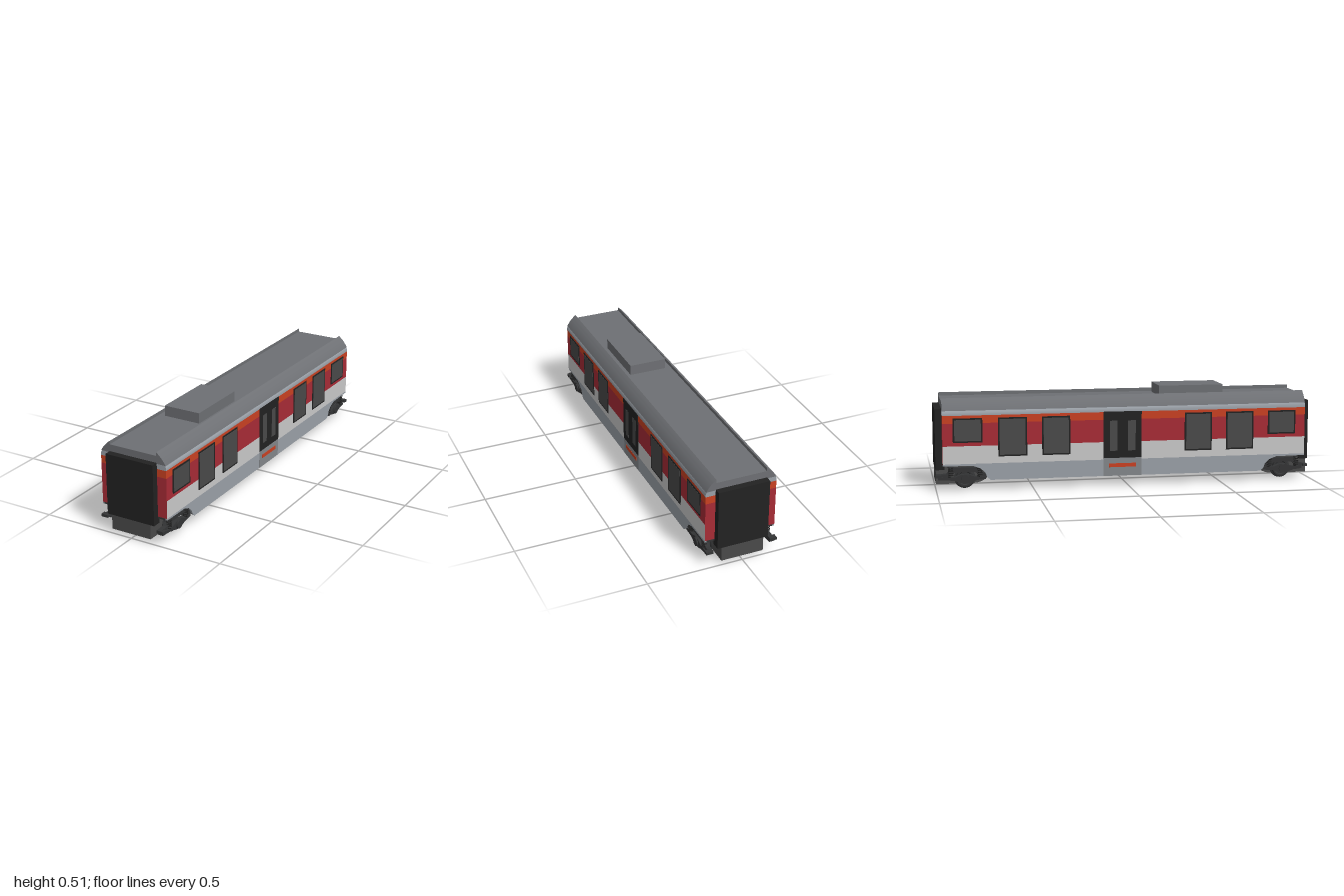
import * as THREE from 'three';
import { toCreasedNormals } from 'three/addons/utils/BufferGeometryUtils.js';

const paint = (name, color) => {
  const m = new THREE.MeshStandardMaterial({ color });
  m.name = name;
  return m;
};

export function createModel() {
  const roofGrey = paint('roof grey', 0x6e7074);
  const paleGrey = paint('pale blue grey', 0x9ba1a8);
  const orange = paint('orange', 0xca4122);
  const red = paint('red', 0xa82c36);
  const white = paint('white', 0xcacaca);
  const black = paint('black', 0x222222);
  const darkGrey = paint('dark grey', 0x4a4a4a);
  const panelGrey = paint('panel grey', 0x83878b);
  const iron = paint('iron', 0x343536);

  const model = new THREE.Group();
  model.name = 'railwayCarriage';

  const add = (name, geo, mat, parent = model) => {
    const mesh = new THREE.Mesh(geo, mat);
    mesh.name = name;
    parent.add(mesh);
    return mesh;
  };
  // Box given by its extents
  const box = (name, mat, x0, x1, y0, y1, z0, z1, parent = model) => {
    const mesh = add(name, new THREE.BoxGeometry(x1 - x0, y1 - y0, z1 - z0), mat, parent);
    mesh.position.set((x0 + x1) / 2, (y0 + y1) / 2, (z0 + z1) / 2);
    return mesh;
  };
  // The same box on the left and right flank
  const pair = (name, mat, x0, x1, y0, y1, z0, z1, parent = model) => {
    box(name + 'Left', mat, x0, x1, y0, y1, z0, z1, parent);
    box(name + 'Right', mat, -x1, -x0, y0, y1, z0, z1, parent);
  };
  const outline = (pts) => new THREE.Shape(pts.map(([a, b]) => new THREE.Vector2(a, b)));
  const extrude = (shape, depth) => toCreasedNormals(
    new THREE.ExtrudeGeometry(shape, { depth, bevelEnabled: false, curveSegments: 10 }), 0.6);
  // Outline drawn in (z, y), extruded from x0 to x1
  const sideExtrude = (shape, x0, x1) =>
    extrude(shape, x1 - x0).rotateY(-Math.PI / 2).translate(x1, 0, 0);

  const W = 0.187, L = 0.965;

  // Body in painted bands; the lowest band is white on the flanks and red on the ends
  box('lowerBand', [white, white, white, iron, red, red], -W, W, 0.137, 0.23, -L, L);
  box('redBand', red, -W, W, 0.23, 0.348, -L, L);
  box('orangeBand', orange, -W, W, 0.348, 0.388, -L, L);
  const cantrail = outline([[-W, 0.388], [W, 0.388], [W, 0.403], [0.18, 0.414], [-0.18, 0.414], [-W, 0.403]]);
  add('cantrail', extrude(cantrail, 2 * L).translate(0, 0, -L), paleGrey);

  // Roof with curved shoulders rising above a flat deck
  const roof = new THREE.Shape();
  roof.moveTo(-0.185, 0.413);
  roof.lineTo(0.185, 0.413);
  roof.quadraticCurveTo(0.166, 0.449, 0.133, 0.473);
  roof.lineTo(0.133, 0.455);
  roof.lineTo(-0.133, 0.455);
  roof.lineTo(-0.133, 0.473);
  roof.quadraticCurveTo(-0.166, 0.449, -0.185, 0.413);
  add('roof', extrude(roof, 2 * L).translate(0, 0, -L), roofGrey);
  box('roofUnit', roofGrey, -0.101, 0.101, 0.45, 0.51, 0.185, 0.532);

  // Underfloor and skirts cut away over the wheels
  box('underfloor', iron, -0.178, 0.178, 0.128, 0.1365, -L, L);
  const half = [[0.72, 0.05], [0.738, 0.064], [0.748, 0.09], [0.772, 0.112], [0.81, 0.126], [L, 0.128], [L, 0.137]];
  const skirt = outline([...half, ...half.map(([z, y]) => [-z, y]).reverse()]);
  add('skirtLeft', sideExtrude(skirt, W - 0.01, W), paleGrey);
  add('skirtRight', sideExtrude(skirt, -W, -W + 0.01), paleGrey);

  // Windows: black frame with a dark pane
  const windows = [[0.305, 0.452, 0.172], [0.53, 0.68, 0.172], [0.76, 0.912, 0.248]];
  for (const [a, b, y] of windows) {
    for (const [z0, z1] of [[a, b], [-b, -a]]) {
      pair('windowFrame', black, W - 0.003, 0.19, y, 0.374, z0, z1);
      pair('windowPane', darkGrey, W, 0.1908, y + 0.008, 0.366, z0 + 0.008, z1 - 0.008);
    }
  }

  // Doors with two panes, a sill panel and an orange step
  pair('door', black, W - 0.003, 0.19, 0.145, 0.39, -0.13, 0.073);
  pair('doorPaneFront', darkGrey, W, 0.1908, 0.183, 0.342, 0, 0.041);
  pair('doorPaneBack', darkGrey, W, 0.1908, 0.183, 0.342, -0.096, -0.055);
  pair('doorSill', panelGrey, 0.168, 0.188, 0.05, 0.145, -0.13, 0.073);
  pair('sillRecess', iron, 0.166, 0.17, 0.06, 0.125, -0.115, 0.058);
  pair('doorStep', orange, 0.18, 0.1895, 0.096, 0.116, -0.1, 0.043);

  // Wheel profile with a flange on the inner side, turned about the x axis
  const wheelGeo = toCreasedNormals(new THREE.LatheGeometry(
    [[0, 0], [0.055, 0], [0.055, 0.004], [0.046, 0.008], [0.044, 0.025], [0.036, 0.025],
      [0.032, 0.017], [0.015, 0.017], [0.012, 0.026], [0, 0.026]]
      .map(([r, h]) => new THREE.Vector2(r, h)), 28), 0.5).rotateZ(-Math.PI / 2);

  // Coil spring
  const coil = [];
  for (let i = 0; i <= 48; i++) {
    const t = i / 48, a = t * Math.PI * 10;
    coil.push(new THREE.Vector3(0.0115 * Math.cos(a), 0.05 * t, 0.0115 * Math.sin(a)));
  }
  const springGeo = new THREE.TubeGeometry(new THREE.CatmullRomCurve3(coil), 100, 0.0028, 5);

  const sideFrame = outline([[0.735, 0.068], [0.77, 0.068], [0.8, 0.092], [0.9, 0.092], [0.93, 0.068],
    [1, 0.068], [1, 0.082], [0.945, 0.084], [0.915, 0.116], [0.785, 0.116], [0.755, 0.084], [0.735, 0.082]]);
  const arm = outline([[0.79, 0.05], [0.83, 0.036], [0.87, 0.036], [0.91, 0.05], [0.99, 0.055],
    [0.99, 0.068], [0.9, 0.068], [0.87, 0.08], [0.83, 0.08], [0.8, 0.068], [0.745, 0.068], [0.745, 0.055]]);
  const casing = new THREE.Shape();
  casing.moveTo(0.998, 0.023);
  casing.lineTo(0.998, 0.13);
  casing.lineTo(0.705, 0.13);
  casing.quadraticCurveTo(0.71, 0.03, 0.8, 0.023);

  // Running gear and gangway, one set at each end
  for (const end of ['front', 'back']) {
    const set = new THREE.Group();
    set.name = end + 'End';
    if (end === 'back') set.rotation.y = Math.PI;
    model.add(set);

    box('gangway', black, -0.135, 0.135, 0.1, 0.419, L - 0.01, 1, set);
    add('bogieCasing', sideExtrude(casing, -0.112, 0.112), darkGrey, set);
    const axle = add('axle', new THREE.CylinderGeometry(0.012, 0.012, 0.34, 14).rotateZ(Math.PI / 2), iron, set);
    axle.position.set(0, 0.055, 0.85);

    for (const s of [1, -1]) {
      const side = new THREE.Group();
      side.name = s > 0 ? 'bogieSideA' : 'bogieSideB';
      if (s < 0) { // turned half round about the axle centre line
        side.rotation.y = Math.PI;
        side.position.z = 1.7;
      }
      set.add(side);
      const wheel = add('wheel', wheelGeo, iron, side);
      wheel.position.set(0.117, 0.055, 0.85);
      add('sideFrame', sideExtrude(sideFrame, 0.148, 0.172), iron, side);
      add('axleArm', sideExtrude(arm, 0.15, 0.178), iron, side);
      const hub = add('axleBox', new THREE.CylinderGeometry(0.022, 0.022, 0.034, 18).rotateZ(Math.PI / 2), iron, side);
      hub.position.set(0.168, 0.058, 0.85);
      for (const z of [0.775, 0.925]) {
        const spring = add('spring', springGeo, black, side);
        spring.position.set(0.17, 0.069, z);
        const cap = add('springCap', new THREE.CylinderGeometry(0.016, 0.016, 0.005, 16), iron, side);
        cap.position.set(0.17, 0.12, z);
        const damper = add('damper', new THREE.CylinderGeometry(0.006, 0.006, 0.07, 10), iron, side);
        damper.position.set(0.152, 0.096, z);
      }
      box('endBeam', iron, 0.148, 0.186, 0.066, 0.08, 0.972, 1, side);
      box('endBeamInner', iron, 0.148, 0.186, 0.066, 0.08, 0.715, 0.74, side);
    }
  }
  return model;
}
